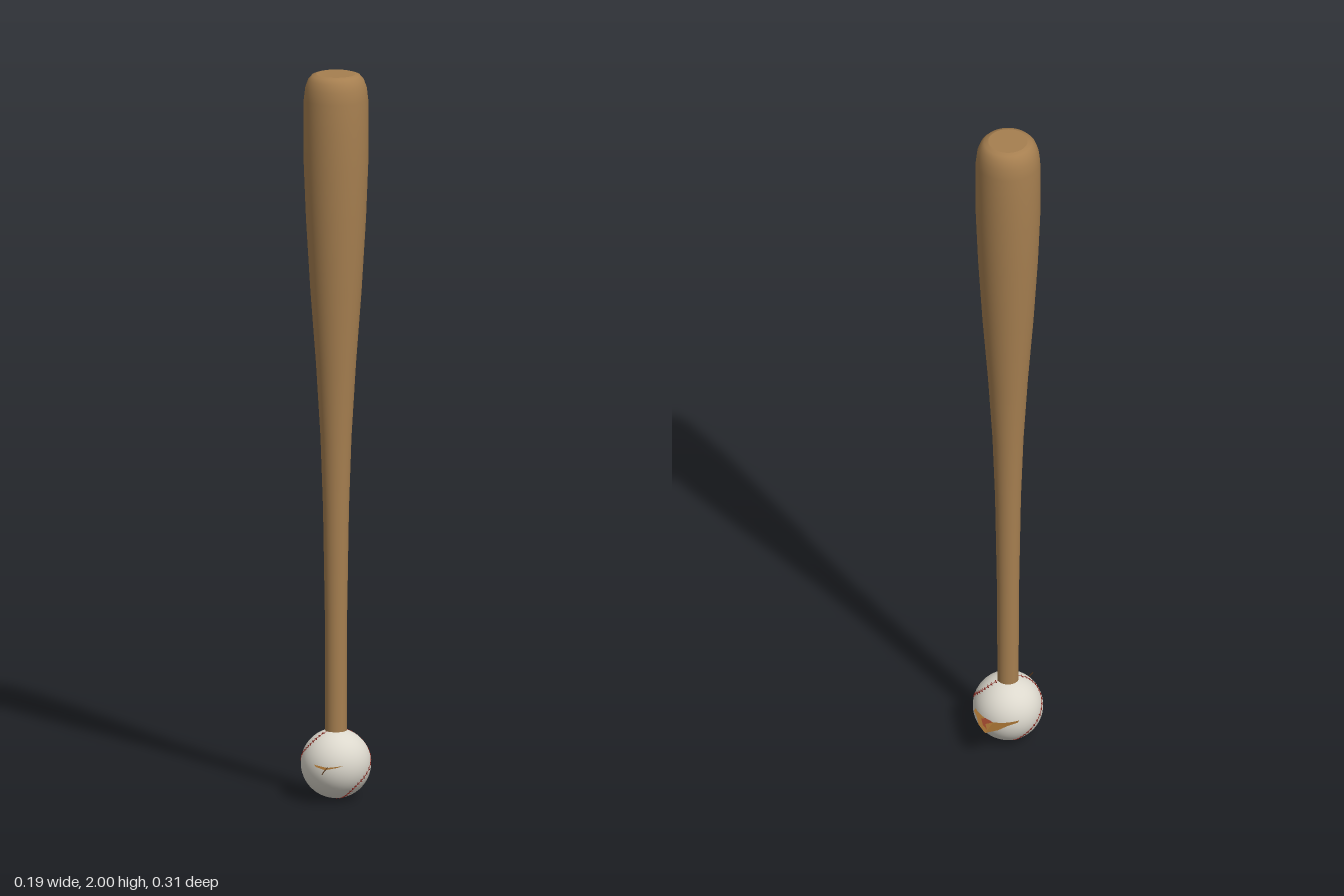
import * as THREE from 'three';

const mat = (name, color, side = THREE.FrontSide) => {
  const m = new THREE.MeshStandardMaterial({ color, side });
  m.name = name;
  return m;
};

export function createModel() {
  const wood = mat('wood', 0xa67f50);
  const leather = mat('white leather', 0xdcd8cd);
  const thread = mat('red thread', 0x8a2a22);
  const leafBrown = mat('leaf brown', 0x99692f, THREE.DoubleSide);
  const leafRed = mat('leaf red', 0x8f4028, THREE.DoubleSide);
  const stemBrown = mat('stem brown', 0x4a2e18);

  const group = new THREE.Group();
  const add = (name, geometry, material, parent = group) => {
    const mesh = new THREE.Mesh(geometry, material);
    mesh.name = name;
    parent.add(mesh);
    return mesh;
  };
  const zMid = -0.007;

  // Bat: turned profile with a flat top; the butt sits inside the ball
  const profile = [
    [0.029, 0.12], [0.029, 0.3], [0.03, 0.5], [0.035, 0.8], [0.042, 1.0],
    [0.054, 1.2], [0.069, 1.4], [0.081, 1.6], [0.087, 1.75], [0.088, 1.85],
    [0.087, 1.93], [0.083, 1.963], [0.075, 1.985], [0.065, 1.996], [0.053, 2.0],
  ].map(([r, y]) => new THREE.Vector2(r, y));
  add('bat', new THREE.LatheGeometry(profile, 48), wood).position.z = zMid;
  const cap = add('batTop', new THREE.CircleGeometry(0.053, 48), wood);
  cap.rotation.x = -Math.PI / 2;
  cap.position.set(0, 2, zMid);

  // Ball
  const ball = new THREE.Group();
  ball.name = 'ball';
  ball.position.set(0, 0.098, zMid);
  group.add(ball);
  const R = 0.095;
  add('ballCover', new THREE.SphereGeometry(R, 48, 32), leather, ball);

  // Seam: a wave around the ball, crossed by pairs of slanted stitches
  const seamAt = (t, r = R) => new THREE.Vector3(
    Math.cos(t), Math.sin(t), -0.55 * Math.sin(2 * t)).setLength(r);
  const seamPoints = Array.from({ length: 80 }, (_, i) => seamAt(i / 80 * Math.PI * 2));
  add('seam', new THREE.TubeGeometry(
    new THREE.CatmullRomCurve3(seamPoints, true), 160, 0.0009, 5, true), thread, ball);
  const stitch = new THREE.CylinderGeometry(0.0011, 0.0011, 0.008, 5);
  const up = new THREE.Vector3(0, 1, 0);
  for (let i = 0; i < 54; i++) {
    const t = (i / 54) * Math.PI * 2;
    const p = seamAt(t);
    const along = seamAt(t + 0.01).sub(p).normalize();
    const across = new THREE.Vector3().crossVectors(p, along).normalize();
    for (const s of [-1, 1]) {
      const dir = across.clone().multiplyScalar(s).addScaledVector(along, 0.8).normalize();
      const m = add('stitch', stitch, thread, ball);
      m.position.copy(p).addScaledVector(dir, 0.003).setLength(R + 0.0003);
      m.quaternion.setFromUnitVectors(up, dir);
    }
  }

  // Leaf: two flat halves folded up a little along the midrib
  const leaf = new THREE.Group();
  leaf.name = 'leaf';
  group.add(leaf);
  const fold = (x) => 0.104 + Math.abs(x) * 0.13;
  const folded = (points, lift = 0) => {
    const shape = new THREE.Shape(points.map(([x, z]) => new THREE.Vector2(x, -z)));
    const g = new THREE.ShapeGeometry(shape);
    g.rotateX(-Math.PI / 2);
    const pos = g.attributes.position;
    for (let i = 0; i < pos.count; i++) pos.setY(i, fold(pos.getX(i)) + lift);
    g.computeVertexNormals();
    return g;
  };
  const edge = [
    [0, -0.155], [0.029, -0.133], [0.046, -0.107], [0.065, -0.086], [0.065, -0.074],
    [0.052, -0.04], [0.055, 0.03], [0.04, 0.08], [0.029, 0.1], [0, 0.118],
  ];
  for (const s of [-1, 1]) {
    add(s > 0 ? 'leftLeafHalf' : 'rightLeafHalf',
      folded(edge.map(([x, z]) => [x * s, z])), leafBrown, leaf);
  }
  // Red blotch near the tip
  add('leafBlotch', folded([[0.001, -0.14], [0.018, -0.129], [0.034, -0.106],
    [0.02, -0.095], [0.001, -0.105], [0.015, -0.121]], 0.0008), leafRed, leaf);

  // Stem running out of the front of the leaf
  const stemPath = new THREE.CatmullRomCurve3([
    new THREE.Vector3(0, 0.105, 0.07), new THREE.Vector3(0, 0.103, 0.115),
    new THREE.Vector3(0, 0.098, 0.153),
  ]);
  add('leafStem', new THREE.TubeGeometry(stemPath, 10, 0.0015, 6), stemBrown, leaf);

  return group;
}
